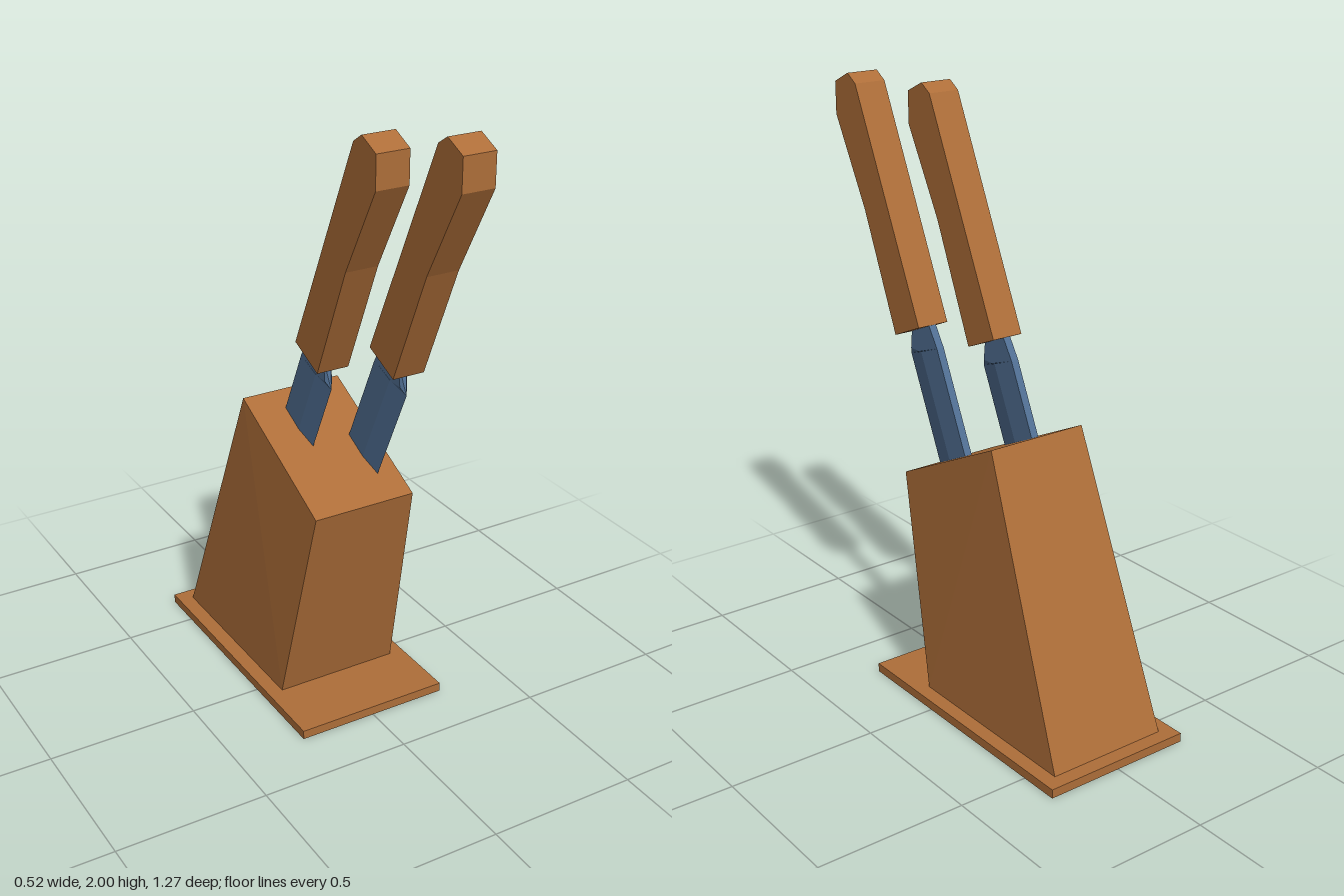
import * as THREE from 'three';
import { ConvexGeometry } from 'three/addons/geometries/ConvexGeometry.js';

const wood = new THREE.MeshStandardMaterial({ color: 0xae6e39 });
wood.name = 'wood';
const steel = new THREE.MeshStandardMaterial({ color: 0x517094 });
steel.name = 'steel';

function addMesh(parent, name, geometry, material) {
  const mesh = new THREE.Mesh(geometry, material);
  mesh.name = name;
  parent.add(mesh);
  return mesh;
}

// Convex solid from [halfWidth, y, z] points, mirrored across x
function mirroredHull(points) {
  const corners = [];
  for (const [x, y, z] of points) {
    corners.push(new THREE.Vector3(x, y, z));
    if (x > 0) corners.push(new THREE.Vector3(-x, y, z));
  }
  return new ConvexGeometry(corners);
}

// Side profile of [z, y] points, extruded to a width centred on x = 0
function sideExtrude(profile, width) {
  const shape = new THREE.Shape(profile.map(([z, y]) => new THREE.Vector2(z, y)));
  const geometry = new THREE.ExtrudeGeometry(shape, { depth: width, bevelEnabled: false });
  geometry.translate(0, 0, -width / 2);
  geometry.rotateY(-Math.PI / 2);
  return geometry;
}

function createKnife(name) {
  const knife = new THREE.Group();
  knife.name = name;
  const t = 0.013; // half thickness of the steel

  // Handle with a chamfered, hooked butt
  addMesh(knife, 'handle', sideExtrude([
    [0.318, 1.195], [0.185, 1.252], [0.517, 1.972], [0.56, 2.0],
    [0.635, 1.965], [0.635, 1.86], [0.48, 1.575],
  ], 0.11), wood);

  // Neck between handle and blade, narrowing to the cutting edge
  addMesh(knife, 'neck', mirroredHull([
    [t, 1.22, 0.285], [t, 1.26, 0.195],
    [t, 1.15, 0.292], [t, 1.185, 0.147], [t, 1.15, 0.245], [0, 1.125, 0.31],
  ]), steel);

  // Blade: flat spine side, ground to an edge at the front, running into the block
  const dz = -0.2, dy = -0.432;
  const section = [[t, 1.185, 0.147], [t, 1.152, 0.236], [0, 1.125, 0.31]];
  const end = section.map(([x, y, z]) => [x, y + dy, z + dz]);
  addMesh(knife, 'blade', mirroredHull([...section, ...end]), steel);
  return knife;
}

export function createModel() {
  const model = new THREE.Group();
  model.name = 'knifeBlock';

  // Thin foot plate
  const base = addMesh(model, 'base', new THREE.BoxGeometry(0.524, 0.03, 0.95), wood);
  base.position.set(0, 0.015, -0.16);

  // Leaning block with a sloped top
  addMesh(model, 'block', mirroredHull([
    [0.212, 0.03, 0.083], [0.212, 0.03, -0.585],
    [0.177, 0.745, 0.25], [0.177, 0.972, -0.217],
  ]), wood);

  // Two matching knives
  const leftKnife = createKnife('leftKnife');
  leftKnife.position.set(0.105, 0, 0);
  const rightKnife = createKnife('rightKnife');
  rightKnife.position.set(-0.046, -0.02, -0.19);
  model.add(leftKnife, rightKnife);
  return model;
}
